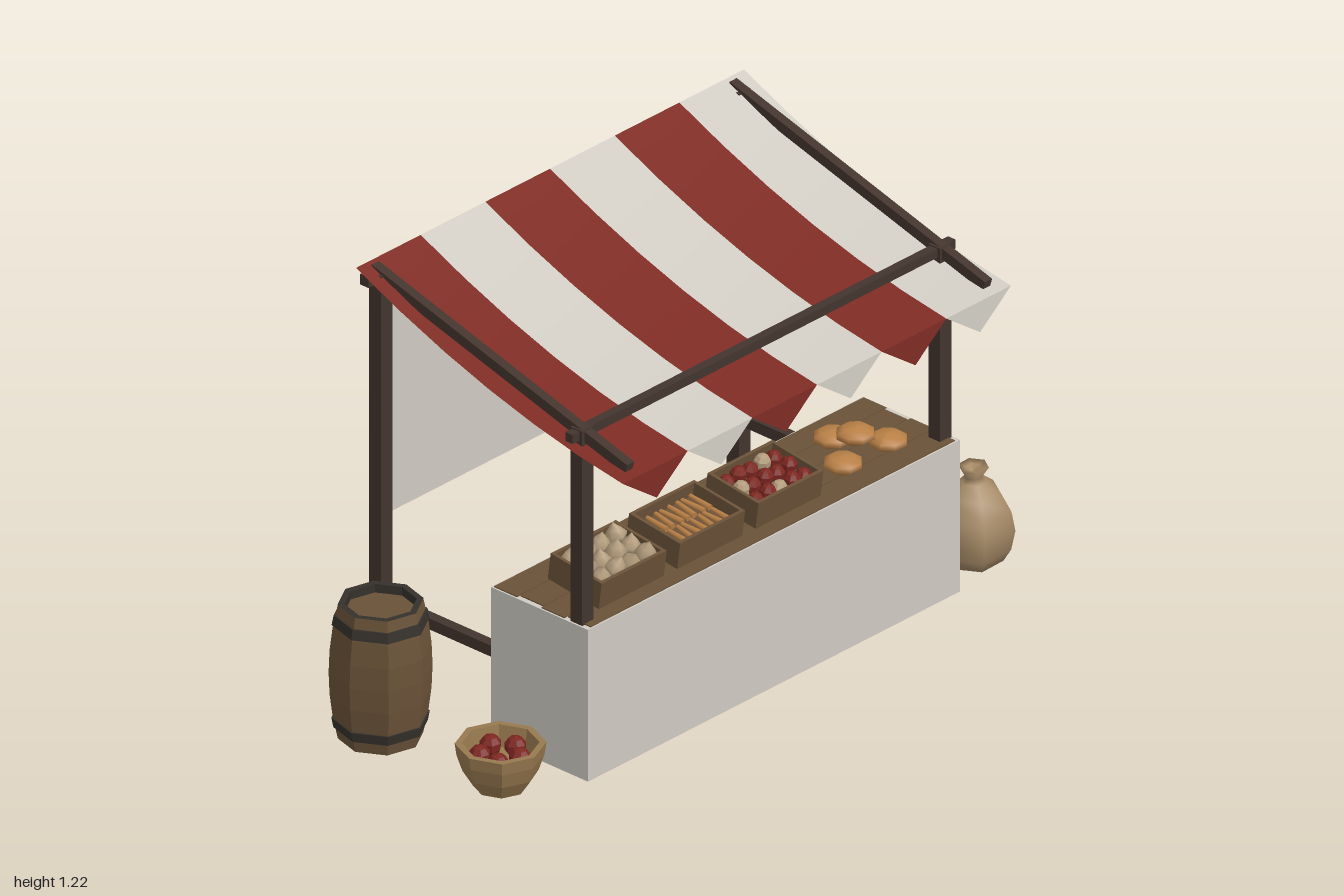
import * as THREE from 'three';

const mat = (name, color) => {
  const m = new THREE.MeshStandardMaterial({ color });
  m.name = name;
  return m;
};

export function createModel() {
  const cloth = mat('pale cloth', 0xcfcbc2), red = mat('red cloth', 0x7d2b23);
  cloth.side = red.side = THREE.DoubleSide;
  const frameWood = mat('dark frame wood', 0x43352e), wood = mat('brown wood', 0x6a5238);
  const iron = mat('iron', 0x35312c), sackCloth = mat('sack cloth', 0xa68a66);
  const wicker = mat('wicker', 0x97794f), crust = mat('bread crust', 0xb98046);
  const apple = mat('apple red', 0x7c2620), bulb = mat('garlic', 0xb39c7c);
  wicker.side = THREE.DoubleSide;

  const model = new THREE.Group();
  model.name = 'marketStall';
  const CX = 0.013; // stall centre line

  const group = (name, x = 0, y = 0, z = 0, parent = model) => {
    const g = new THREE.Group();
    g.name = name;
    g.position.set(x, y, z);
    parent.add(g);
    return g;
  };
  const add = (parent, name, geo, material, x = 0, y = 0, z = 0) => {
    const m = new THREE.Mesh(geo, material);
    m.name = name;
    m.position.set(x, y, z);
    parent.add(m);
    return m;
  };
  const box = (parent, name, material, w, h, d, x, y, z) =>
    add(parent, name, new THREE.BoxGeometry(w, h, d), material, x, y, z);
  const lathe = (pts, sides) =>
    new THREE.LatheGeometry(pts.map(([r, y]) => new THREE.Vector2(r, y)), sides);
  const flat = (geo) => {
    const g = geo.toNonIndexed();
    g.computeVertexNormals();
    return g;
  };

  // Timber frame
  const frame = group('frame', CX);
  const slope = Math.atan2(0.255, 0.895);
  for (const s of [-1, 1]) {
    const x = s * 0.673;
    box(frame, 'frontPost', frameWood, 0.043, 0.61, 0.041, x, 0.703, 0.264);
    box(frame, 'backPost', frameWood, 0.043, 1.2, 0.043, x, 0.6, -0.441);
    box(frame, 'roofRail', frameWood, 0.027, 0.03, 0.93, x, 1.076, -0.017).rotation.x = slope;
    box(frame, 'sideRail', frameWood, 0.03, 0.032, 0.42, x, 0.246, -0.225);
  }
  box(frame, 'frontBeam', frameWood, 1.44, 0.026, 0.026, 0, 0.992, 0.262);
  box(frame, 'backBeam', frameWood, 1.44, 0.03, 0.03, 0, 1.185, -0.455);

  // Sagging striped canopy with a pointed valance
  const canopy = group('canopy', CX);
  const STRIPES = 6, sw = 1.46 / STRIPES;
  for (let i = 0; i < STRIPES; i++) {
    const x = -0.73 + sw * (i + 0.5), m = i % 2 ? cloth : red;
    const geo = new THREE.PlaneGeometry(sw, 1, 1, 6), p = geo.attributes.position;
    for (let k = 0; k < p.count; k++) {
      const t = 0.5 - p.getY(k);
      p.setY(k, 1.22 - 0.285 * t - 0.16 * t * (1 - t));
      p.setZ(k, -0.475 + 0.935 * t);
    }
    geo.computeVertexNormals();
    add(canopy, 'canopyStripe', geo, m, x);
    const tri = new THREE.Shape([
      new THREE.Vector2(-sw / 2, 0), new THREE.Vector2(0, -0.086), new THREE.Vector2(sw / 2, 0)]);
    add(canopy, 'valancePoint', new THREE.ShapeGeometry(tri), m, x, 0.935, 0.46).rotation.x = -0.06;
  }

  // Hanging back sheet
  add(model, 'backSheet', new THREE.PlaneGeometry(1.335, 0.72), cloth, CX, 0.828, -0.463);

  // Counter draped in cloth, with a plank top
  const counter = group('counter', CX);
  box(counter, 'counterCloth', cloth, 1.4, 0.442, 0.34, 0, 0.221, 0.14);
  for (let i = 0; i < 4; i++)
    box(counter, 'counterPlank', wood, 1.39 - (i % 2) * 0.02, 0.005, 0.08, 0, 0.4425, 0.016 + i * 0.083);

  // Open crates tipped toward the customer
  const makeCrate = (x) => {
    const g = group('crate', x, 0.485, 0.172);
    g.rotation.x = 0.13;
    const w = 0.245, h = 0.078, d = 0.18, t = 0.01;
    box(g, 'crateFloor', wood, w, t, d, 0, -h / 2 + t / 2 + 0.011, 0);
    for (const s of [-1, 1]) {
      box(g, 'crateEnd', wood, t, h, d, s * (w - t) / 2, 0.011, 0);
      box(g, 'crateSide', wood, w - 2 * t, h, t, 0, 0.011, s * (d - t) / 2);
    }
    return g;
  };
  const garlicGeo = lathe([[0, -0.026], [0.026, -0.016], [0.031, 0], [0.018, 0.018], [0.006, 0.03], [0, 0.038]], 6);
  const appleGeo = flat(new THREE.IcosahedronGeometry(0.024, 0).toNonIndexed ? new THREE.SphereGeometry(0.024, 7, 5) : null);

  const garlicCrate = makeCrate(-0.468);
  for (let i = 0; i < 4; i++)
    for (let j = 0; j < 3; j++) {
      const m = add(garlicCrate, 'garlicBulb', garlicGeo, bulb, -0.084 + i * 0.056, 0.034 + ((i + j) % 2) * 0.008, -0.054 + j * 0.054);
      m.rotation.set(0.2 * ((i * 3 + j) % 3 - 1), i + j, 0.2 * ((i + j * 2) % 3 - 1));
    }

  const stickCrate = makeCrate(-0.173);
  box(stickCrate, 'crateFill', wood, 0.22, 0.03, 0.155, 0, 0, 0);
  for (let i = 0; i < 8; i++)
    for (const s of [-1, 1]) {
      const m = add(stickCrate, 'breadStick', new THREE.CylinderGeometry(0.009, 0.006, 0.072, 6), crust, -0.095 + i * 0.027, 0.022, s * 0.039);
      m.rotation.set(Math.PI / 2, 0, 0.12 * ((i % 3) - 1));
    }

  const appleCrate = makeCrate(0.122);
  box(appleCrate, 'crateFill', wood, 0.22, 0.03, 0.155, 0, 0, 0);
  for (let i = 0; i < 5; i++)
    for (let j = 0; j < 3; j++) {
      const pale = (i * 2 + j) % 5 === 1;
      add(appleCrate, pale ? 'paleApple' : 'apple', appleGeo, pale ? bulb : apple,
        -0.09 + i * 0.045, 0.026 + ((i + j) % 2) * 0.008, -0.052 + j * 0.052).rotation.y = i + j;
    }

  // Round loaves
  const loaves = group('loaves');
  const loafGeo = lathe([[0.038, -0.019], [0.053, -0.008], [0.051, 0.006], [0.033, 0.017], [0, 0.021]], 8);
  loafGeo.computeVertexNormals();
  for (const [x, y, z] of [[0.39, 0.464, 0.2], [0.56, 0.464, 0.2], [0.475, 0.464, 0.085], [0.478, 0.501, 0.162]]) {
    add(loaves, 'loaf', loafGeo, crust, x, y, z).rotation.y = x * 9;
  }

  // Barrel with recessed ends and two hoops
  const barrel = group('barrel', -0.866, 0, -0.25);
  const R = (y) => 0.135 - 0.024 * ((y - 0.195) / 0.195) ** 2;
  const rows = [0, 0.065, 0.13, 0.195, 0.26, 0.325, 0.39].map((y) => [R(y), y]);
  const staves = [[0, 0.02], [0.095, 0.02], [0.095, 0], ...rows, [0.095, 0.39], [0.095, 0.365], [0, 0.365]];
  add(barrel, 'staves', flat(lathe(staves, 8)), wood);
  for (const y of [0.048, 0.346]) {
    const a = y - 0.014, b = y + 0.014;
    const hoop = [[R(a) - 0.01, a], [R(a) + 0.004, a], [R(b) + 0.004, b], [R(b) - 0.01, b]];
    add(barrel, 'hoop', flat(lathe(hoop, 8)), iron);
  }
  add(barrel, 'topRim', flat(lathe([[0.112, 0.3905], [0.094, 0.3905], [0.094, 0.366]], 8)), iron);
  barrel.rotation.y = 0.12;

  // Basket of apples
  const basket = group('basket', -0.855, 0, 0.16);
  const basketWall = [[0, 0], [0.07, 0], [0.098, 0.045], [0.113, 0.09], [0.118, 0.125], [0.1, 0.125], [0.09, 0.065], [0, 0.06]];
  add(basket, 'basketBowl', flat(lathe(basketWall, 8)), wicker);
  for (let i = 0; i < 5; i++) {
    const a = i * Math.PI * 0.4 + 0.3;
    add(basket, 'apple', appleGeo, apple, 0.055 * Math.sin(a), 0.093, 0.055 * Math.cos(a)).scale.setScalar(1.25);
  }

  // Tied sacks
  const sackGeo = lathe([[0, 0], [0.085, 0], [0.107, 0.035], [0.119, 0.09], [0.108, 0.145],
    [0.078, 0.195], [0.038, 0.226], [0.025, 0.238], [0.044, 0.267], [0.022, 0.262], [0, 0.25]], 6);
  for (const [x, z, turn, sx, sy] of [[0.87, 0.21, Math.PI / 6, 1, 1], [0.89, -0.06, 0.15, 0.88, 0.91]]) {
    const s = add(model, 'sack', sackGeo, sackCloth, x, 0, z);
    s.scale.set(sx, sy, sx * 0.93);
    s.rotation.y = turn;
  }
  return model;
}
